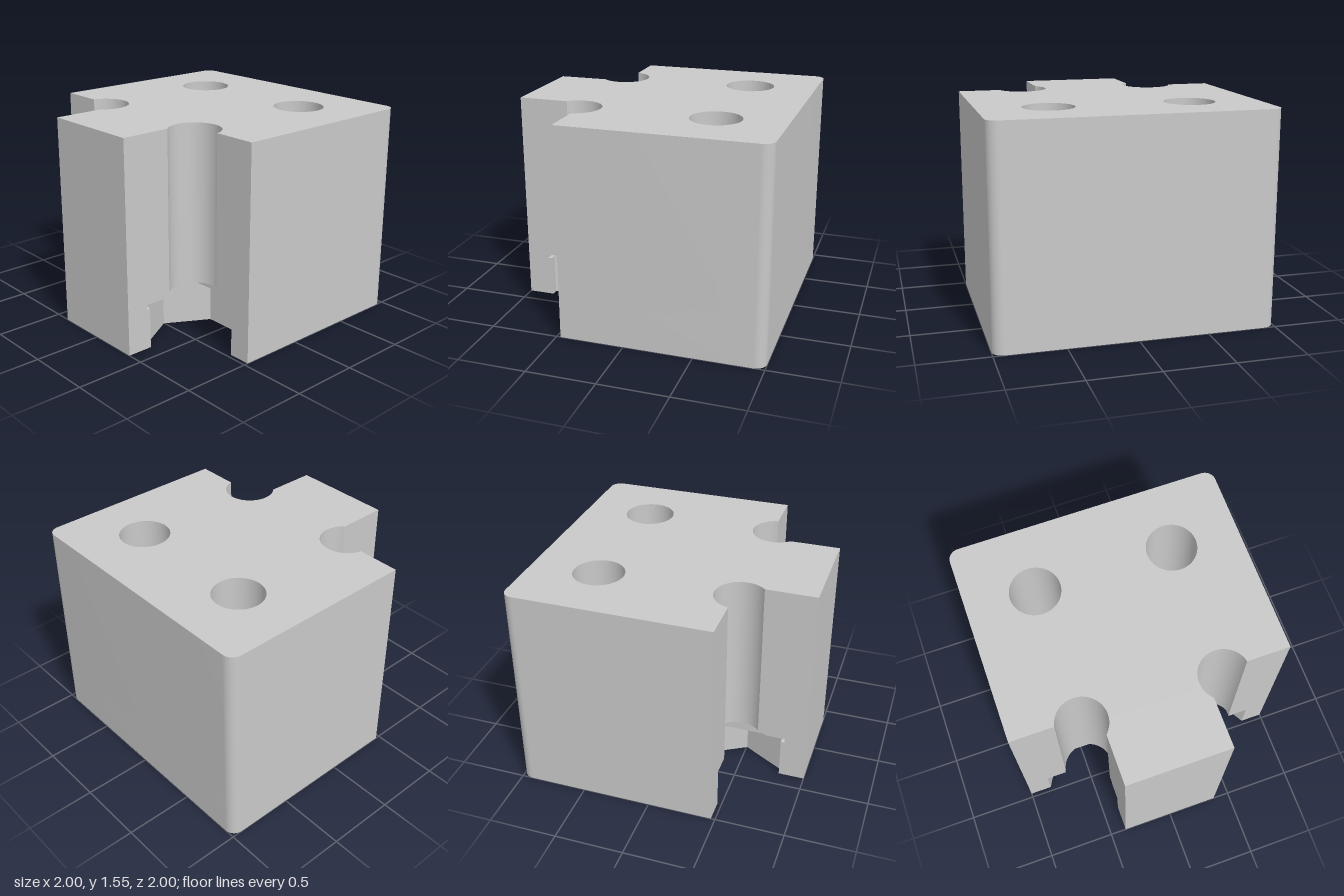
import * as THREE from 'three';
import { toCreasedNormals } from 'three/addons/utils/BufferGeometryUtils.js';

const C = 0.505;       // bolt centre offset in x and z
const R = 0.182;       // bolt hole radius
const HEX = 0.353;     // nut pocket corner radius
const FACE = 0.47;     // z of the recessed front face
const LEG = 0.378;     // half width of the front leg
const CORNER = 0.08;   // rounding of the rear corners

// Closed loops run clockwise in (x, z), which is counter-clockwise in the shape plane
const ring = (r, n) => Array.from({ length: n }, (_, i) => {
  const a = (-i / n) * Math.PI * 2;
  return [r * Math.cos(a), r * Math.sin(a)];
});
const rect = (w, d) => [[w, d], [w, -d], [-w, -d], [-w, d]];

// Bolt arc running from the recessed face round to the side of the leg
function boltArc() {
  const start = Math.asin((FACE - C) / R);
  const end = -Math.PI * 2 + Math.acos((LEG - C) / R);
  return Array.from({ length: 41 }, (_, i) => {
    const a = start + ((end - start) * i) / 40;
    return [R * Math.cos(a), R * Math.sin(a)];
  });
}

// Each layer: height range, closed hole and the open notch (relative to the bolt centre)
const h = HEX * Math.sqrt(3) / 2;
const toLeg = LEG - C;
const toFace = FACE - C;
const squareNotch = (d) => [[R, toFace], [R, -d], [-R, -d], [-R, d], [toLeg, d]];
const layers = [
  { name: 'nutPocketLayer', y0: 0, y1: 0.301, hole: ring(HEX, 6),
    notch: [[HEX + toFace / Math.sqrt(3), toFace], [HEX / 2, -h], [-HEX / 2, -h],
      [-HEX, 0], [-HEX / 2, h], [toLeg, h]] },
  { name: 'slotLayer', y0: 0.301, y1: 0.333, hole: rect(R, 0.332), notch: squareNotch(0.332) },
  { name: 'squareLayer', y0: 0.333, y1: 0.366, hole: rect(R, R), notch: squareNotch(R) },
  { name: 'boltHoleLayer', y0: 0.366, y1: 1.55, hole: ring(R, 64), notch: boltArc() },
];

// Shapes are drawn in (x, -z)
const toPoints = (list) => list.map(([x, z]) => new THREE.Vector2(x, -z));

function layerGeometry({ y0, y1, hole, notch }) {
  // Right half of the outline, rear to front
  const half = [];
  for (let i = 0; i <= 32; i++) {
    const a = (i / 32) * Math.PI / 2;
    half.push([1 - CORNER + CORNER * Math.sin(a), -1 + CORNER - CORNER * Math.cos(a)]);
  }
  half.push([1, FACE]);
  notch.forEach(([x, z]) => half.push([C + x, C + z]));
  half.push([LEG, 1]);
  const mirrored = half.map(([x, z]) => [-x, z]).reverse();
  const shape = new THREE.Shape(toPoints([...half, ...mirrored]));

  // Two closed holes at the rear
  for (const s of [-1, 1]) {
    shape.holes.push(new THREE.Path(toPoints(hole.map(([x, z]) => [s * C + x, z - C]))));
  }
  const geo = new THREE.ExtrudeGeometry(shape, { depth: y1 - y0, bevelEnabled: false });
  geo.rotateX(-Math.PI / 2).translate(0, y0, 0);
  return toCreasedNormals(geo, 0.5);
}

export function createModel() {
  const grey = new THREE.MeshStandardMaterial({ color: 0xc9c9c9 });
  grey.name = 'plain grey';
  const group = new THREE.Group();
  group.name = 'mountingBlock';
  for (const layer of layers) {
    const mesh = new THREE.Mesh(layerGeometry(layer), grey);
    mesh.name = layer.name;
    group.add(mesh);
  }
  return group;
}
